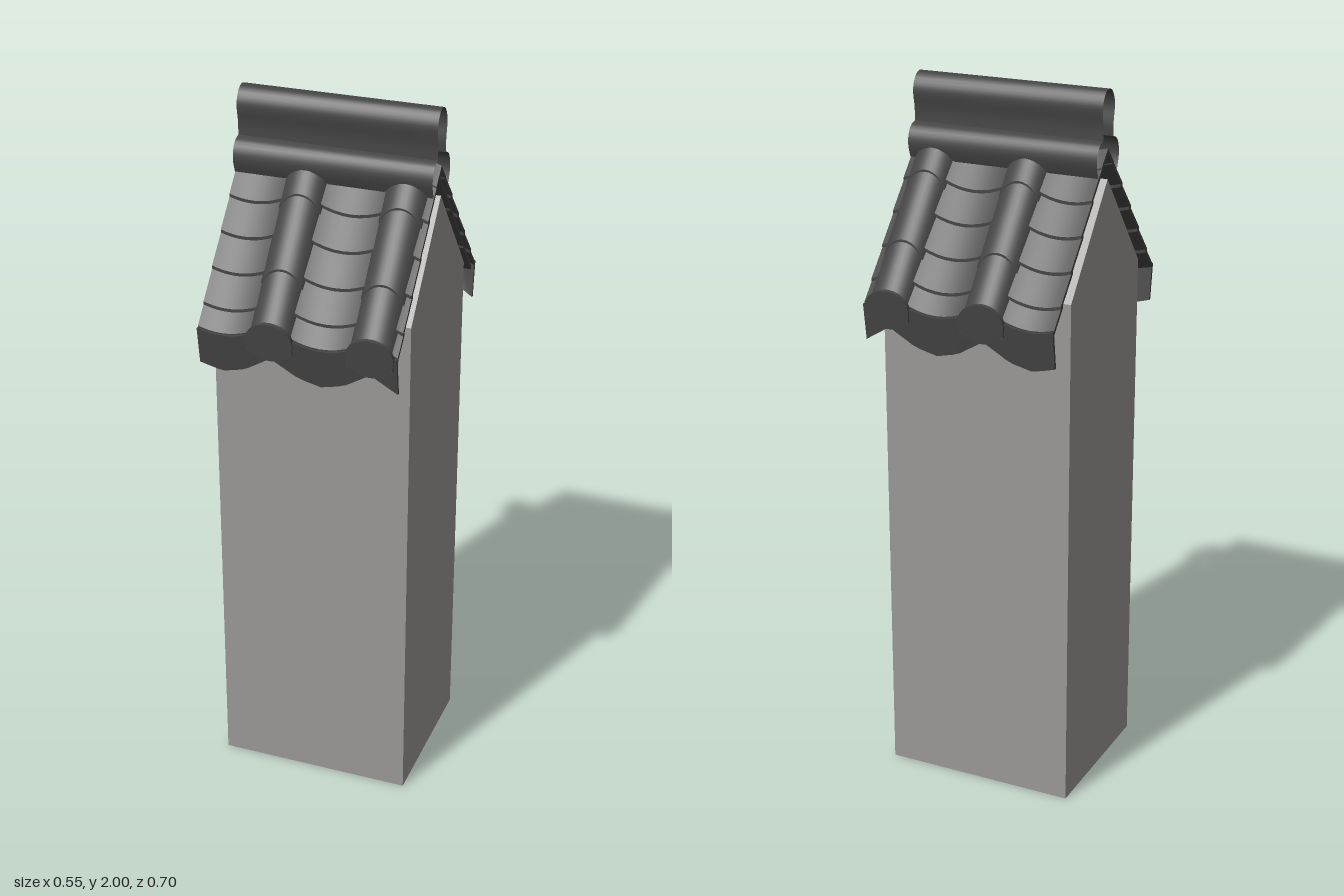
import * as THREE from 'three';
import { toCreasedNormals } from 'three/addons/utils/BufferGeometryUtils.js';

const HALF = 0.277;    // half the wall length
const PITCH = 0.277;   // spacing of the tile columns
const SLOPE = 1.235;   // roof drop per unit of z
const wallMat = new THREE.MeshStandardMaterial({ color: 0x9b9996 });
wallMat.name = 'wall grey';
const tileMat = new THREE.MeshStandardMaterial({ color: 0x454545 });
tileMat.name = 'tile charcoal';
const ridgeMat = new THREE.MeshStandardMaterial({ color: 0x454545, side: THREE.DoubleSide });
ridgeMat.name = 'ridge charcoal';

function addMesh(parent, name, geometry, material) {
  const mesh = new THREE.Mesh(geometry, material);
  mesh.name = name;
  parent.add(mesh);
}

const shapeOf = (pts) => new THREE.Shape(pts.map(([x, y]) => new THREE.Vector2(x, y)));

// Extrudes a cross-section along z, falling by drop per unit of z
function slopedTile(pts, z0, z1, drop) {
  const geo = new THREE.ExtrudeGeometry(shapeOf(pts), { depth: z1 - z0, bevelEnabled: false });
  geo.applyMatrix4(new THREE.Matrix4().set(1, 0, 0, 0, 0, 1, -drop, 0, 0, 0, 1, z0, 0, 0, 0, 1));
  return toCreasedNormals(geo, 0.6);
}

// Samples x over one pan column, cut off at the wall ends
function panSamples(centre) {
  const a = Math.max(centre - 0.14, -HALF), b = Math.min(centre + 0.14, HALF);
  return Array.from({ length: 13 }, (_, i) => a + (b - a) * i / 12);
}
const panRise = (dx) => 0.05 * (dx / 0.14) ** 2;

// Closed strip between a lower and an upper curve over the samples
function strip(xs, lower, upper) {
  return [...xs.map((x) => [x, lower(x)]), ...[...xs].reverse().map((x) => [x, upper(x)])];
}

// Scalloped lower edge of the drip tiles
function dripEdge(dx) {
  const t = Math.abs(dx) / 0.14;
  return 1.318 + 0.064 * (t < 0.45 ? 0.55 * t : 0.2475 + (t - 0.45) * 1.368);
}

function roofSlope(name, mirror) {
  const slope = new THREE.Group();
  slope.name = name;

  // Concave pan tiles in overlapping courses, each with a hanging drip tile
  const ends = [0.04, 0.102, 0.165, 0.228, 0.29, 0.33];
  for (const column of [-0.212, -0.212 + PITCH, -0.212 + 2 * PITCH]) {
    const centre = column * mirror;
    const xs = panSamples(centre);
    ends.forEach((z1, i) => {
      const z0 = i ? ends[i - 1] - 0.012 : 0;
      const y = 1.832 - SLOPE * z0;
      const top = (x) => y + panRise(x - centre);
      addMesh(slope, 'panTile', slopedTile(strip(xs, (x) => top(x) - 0.014, top), z0, z1, SLOPE - 0.14), tileMat);
    });

    const shape = strip(xs, (x) => dripEdge(x - centre), (x) => 1.428 + panRise(x - centre));
    const drip = new THREE.ExtrudeGeometry(shapeOf(shape), { depth: 0.008, bevelEnabled: false });
    drip.applyMatrix4(new THREE.Matrix4().set(1, 0, 0, 0, 0, 1, 0, 0, 0, 0.14, 1, 0.314 - 1.318 * 0.14, 0, 0, 0, 1));
    addMesh(slope, 'dripTile', toCreasedNormals(drip, 0.6), tileMat);
  }

  // Rounded cover tiles over the seams, closed by a disc at the eave
  const joints = [0, 0.115, 0.245, 0.34];
  for (const column of [-0.073, -0.073 + PITCH]) {
    const centre = column * mirror;
    for (let j = 0; j < 3; j++) {
      const y = 1.895 - SLOPE * joints[j];
      const arc = Array.from({ length: 17 }, (_, i) => {
        const a = Math.PI * i / 16;
        return [centre + 0.064 * Math.cos(a), y - 0.08 + 0.08 * Math.sin(a)];
      });
      addMesh(slope, 'coverTile', slopedTile(arc, joints[j], joints[j + 1], SLOPE - 0.05), tileMat);
    }
    const disc = new THREE.CylinderGeometry(0.066, 0.066, 0.012, 28);
    disc.rotateX(Math.PI / 2).scale(1, 0.82, 1).rotateX(0.09).translate(centre, 1.432, 0.337);
    addMesh(slope, 'coverTileEnd', disc, tileMat);
  }
  if (mirror < 0) slope.rotation.y = Math.PI;
  return slope;
}

// Open ridge sheet: domed crest, narrow neck and a rolled foot on each side
function ridgeGeometry() {
  const crest = [[0, 2], [0.02, 1.993], [0.036, 1.97], [0.04, 1.945], [0.033, 1.905], [0.033, 1.868]];
  const foot = [[0.033, 1.868], [0.055, 1.86], [0.07, 1.838], [0.073, 1.81], [0.062, 1.775]];
  const curve = (pts, n) => new THREE.SplineCurve(pts.map(([z, y]) => new THREE.Vector2(z, y))).getPoints(n);
  const half = [...curve(crest, 14), ...curve(foot, 10).slice(1)];
  const profile = [...half.slice(1).reverse().map((p) => new THREE.Vector2(-p.x, p.y)), ...half];
  const geo = new THREE.PlaneGeometry(2 * HALF, 1, 1, profile.length - 1);
  const pos = geo.attributes.position;
  for (let i = 0; i < pos.count; i++) {
    const p = profile[Math.floor(i / 2)];
    pos.setXYZ(i, pos.getX(i), p.y, p.x);
  }
  return toCreasedNormals(geo, 0.8);
}

export function createModel() {
  const model = new THREE.Group();
  model.name = 'tiledWall';

  // Plain wall block with a gabled top
  const gable = shapeOf([[-0.226, 0], [0.226, 0], [0.226, 1.48], [0, 1.76], [-0.226, 1.48]]);
  const wall = new THREE.ExtrudeGeometry(gable, { depth: 2 * HALF, bevelEnabled: false });
  wall.translate(0, 0, -HALF).rotateY(Math.PI / 2);
  addMesh(model, 'wall', wall, wallMat);

  model.add(roofSlope('frontRoof', 1), roofSlope('backRoof', -1));
  addMesh(model, 'ridge', ridgeGeometry(), ridgeMat);
  return model;
}
